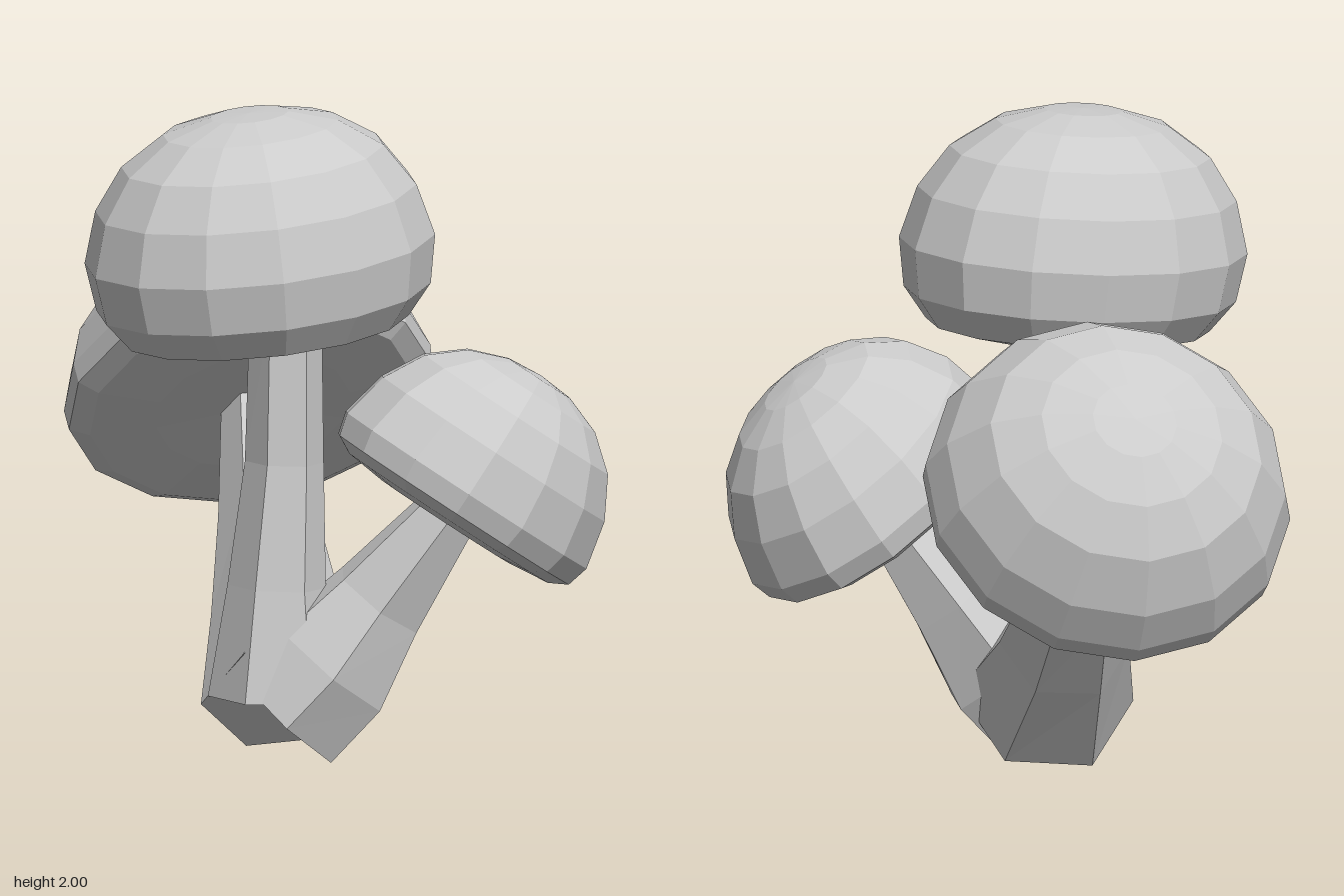
import * as THREE from 'three';

const material = new THREE.MeshStandardMaterial({
  color: 0xcccccc, flatShading: true, side: THREE.DoubleSide,
});
const UP = new THREE.Vector3(0, 1, 0);

// Faceted cap: a lathed profile [radius, height], made slightly oval by
// [length, width, turn], then tilted to lean along an axis
function makeCap(name, center, axis, profile, [length, width, turn]) {
  const points = profile.map(([r, h]) => new THREE.Vector2(r, h));
  const geometry = new THREE.LatheGeometry(points, 14, 0.1);
  geometry.scale(length, 1, width).rotateY(turn);
  const mesh = new THREE.Mesh(geometry, material);
  mesh.name = name;
  mesh.position.set(...center);
  mesh.quaternion.setFromUnitVectors(UP, new THREE.Vector3(...axis).normalize());
  return mesh;
}

// Six-sided stem: rings [x, y, z, radius] set square to the path, closed at both ends
function makeStem(name, rings, phase) {
  const sides = 6;
  const centers = rings.map(([x, y, z]) => new THREE.Vector3(x, y, z));
  const last = rings.length - 1;
  const positions = [];
  const index = [];
  centers.forEach((c, i) => {
    const t = centers[Math.min(i + 1, last)].clone()
      .sub(centers[Math.max(i - 1, 0)]).normalize();
    const u = new THREE.Vector3(0, 0, 1).cross(t).normalize();
    const v = t.clone().cross(u);
    for (let j = 0; j < sides; j++) {
      const a = phase + (j / sides) * Math.PI * 2;
      const p = c.clone()
        .addScaledVector(u, rings[i][3] * Math.cos(a))
        .addScaledVector(v, rings[i][3] * Math.sin(a));
      positions.push(p.x, p.y, p.z);
    }
  });
  const bottom = positions.length / 3;
  positions.push(...centers[0].toArray(), ...centers[last].toArray());
  for (let j = 0; j < sides; j++) {
    const k = (j + 1) % sides;
    for (let i = 0; i < last; i++) {
      const a = i * sides, b = a + sides;
      index.push(a + j, a + k, b + k, a + j, b + k, b + j);
    }
    index.push(bottom, k, j, bottom + 1, last * sides + j, last * sides + k);
  }
  const geometry = new THREE.BufferGeometry();
  geometry.setAttribute('position', new THREE.Float32BufferAttribute(positions, 3));
  geometry.setIndex(index);
  geometry.computeVertexNormals();
  const mesh = new THREE.Mesh(geometry, material);
  mesh.name = name;
  return mesh;
}

export function createModel() {
  const model = new THREE.Group();
  model.name = 'mushroomCluster';

  // Tall mushroom with a deep, rounded cap
  const tall = new THREE.Group();
  tall.name = 'tallMushroom';
  tall.add(
    makeStem('tallStem', [
      [-0.22, 0.18, 0.4, 0.2], [-0.21, 0.52, 0.39, 0.15],
      [-0.185, 0.9, 0.37, 0.12], [-0.18, 1.36, 0.36, 0.11],
    ], 0),
    makeCap('tallCap', [-0.255, 1.45, 0.43], [-0.08, 1, 0.05], [
      [0, -0.165], [0.25, -0.165], [0.44, -0.125], [0.515, -0.03], [0.54, 0.12],
      [0.495, 0.28], [0.405, 0.41], [0.27, 0.5], [0.12, 0.54], [0, 0.545],
    ], [1.027, 0.89, 0.47]),
  );

  // Wide mushroom leaning to the back
  const back = new THREE.Group();
  back.name = 'backMushroom';
  back.add(
    makeStem('backStem', [
      [-0.17, 0.18, 0.37, 0.27], [-0.19, 0.4, 0.13, 0.2],
      [-0.2, 0.65, -0.11, 0.15], [-0.21, 0.94, -0.38, 0.11],
    ], 0),
    makeCap('backCap', [-0.23, 0.965, -0.39], [-0.09, 0.7, -0.7], [
      [0, -0.04], [0.3, -0.05], [0.5, -0.035], [0.56, 0], [0.565, 0.07],
      [0.525, 0.2], [0.42, 0.35], [0.28, 0.44], [0.13, 0.485], [0, 0.495],
    ], [1, 1, 0]),
  );

  // Small mushroom leaning to its left
  const small = new THREE.Group();
  small.name = 'smallMushroom';
  small.add(
    makeStem('smallStem', [
      [-0.19, 0.13, 0.41, 0.22], [-0.05, 0.28, 0.42, 0.22],
      [0.1, 0.48, 0.43, 0.16], [0.31, 0.76, 0.48, 0.1],
    ], Math.PI / 6),
    makeCap('smallCap', [0.32, 0.77, 0.5], [0.56, 0.83, -0.09], [
      [0, -0.04], [0.25, -0.045], [0.39, -0.03], [0.45, 0], [0.47, 0.07],
      [0.435, 0.22], [0.36, 0.345], [0.25, 0.43], [0.12, 0.475], [0, 0.485],
    ], [1.05, 0.88, Math.PI / 4]),
  );

  model.add(tall, back, small);
  return model;
}
